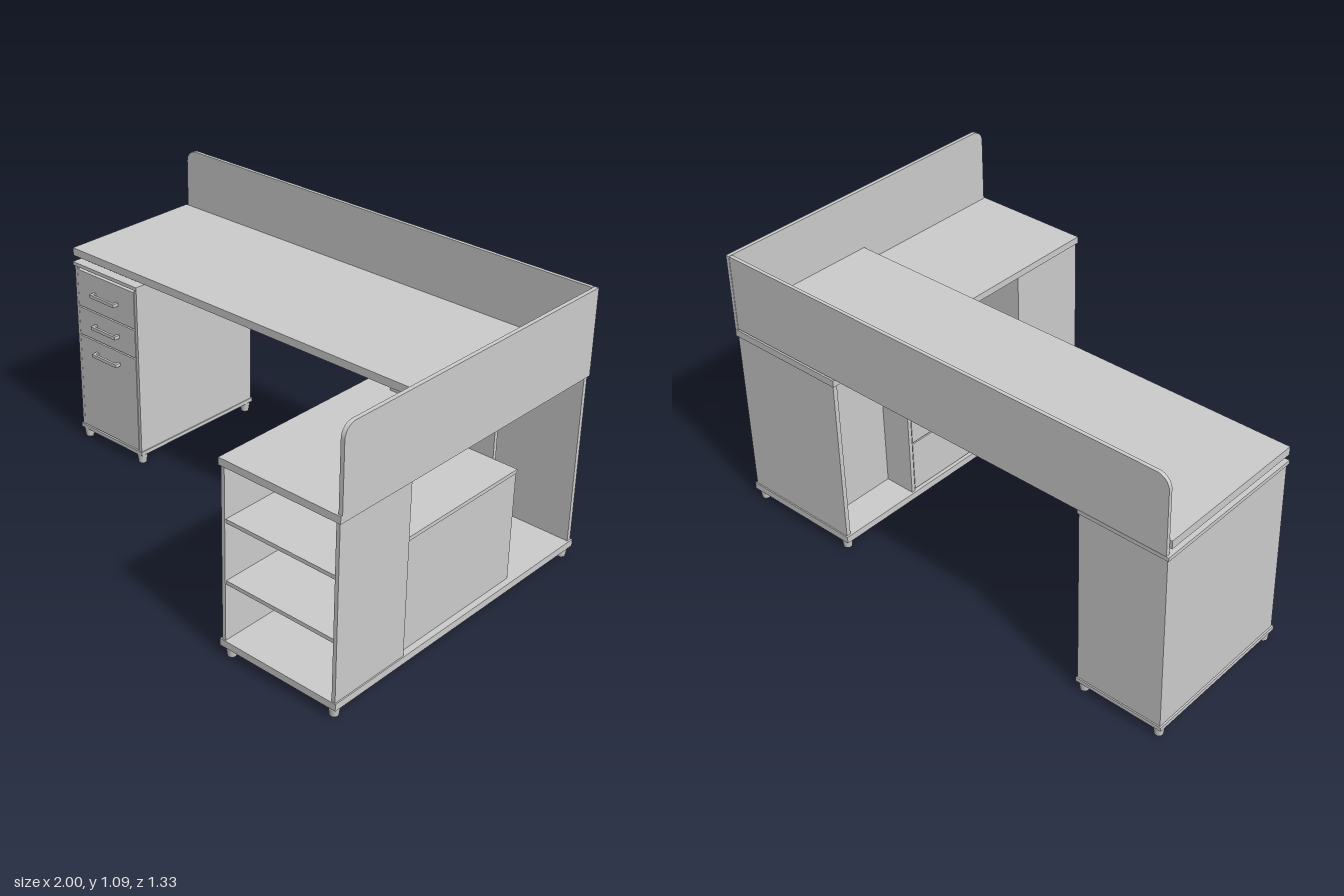
import * as THREE from 'three';

export function createModel() {
  const root = new THREE.Group();
  const mat = new THREE.MeshStandardMaterial({ color: 0xcccccc, flatShading: true });
  const smooth = new THREE.MeshStandardMaterial({ color: 0xcccccc });

  const add = (parent, name, geo, m = mat) => {
    const mesh = new THREE.Mesh(geo, m);
    mesh.name = name;
    parent.add(mesh);
    return mesh;
  };
  // Box given by its limits on each axis
  const box = (parent, name, x0, x1, y0, y1, z0, z1) =>
    add(parent, name, new THREE.BoxGeometry(x1 - x0, y1 - y0, z1 - z0))
      .position.set((x0 + x1) / 2, (y0 + y1) / 2, (z0 + z1) / 2);
  const group = (name) => {
    const g = new THREE.Group();
    g.name = name;
    root.add(g);
    return g;
  };
  const outline = (pts) => new THREE.Shape(pts.map(([a, b]) => new THREE.Vector2(a, b)));
  // Horizontal board cut from an outline in x and z
  const board = (parent, name, shape, y0, y1) => {
    const geo = new THREE.ExtrudeGeometry(shape, { depth: y1 - y0, bevelEnabled: false, curveSegments: 24 });
    geo.rotateX(Math.PI / 2);
    add(parent, name, geo).position.y = y1;
  };
  const feet = (parent, xs, zs) => {
    for (const x of xs) for (const z of zs) {
      add(parent, 'foot', new THREE.CylinderGeometry(0.022, 0.016, 0.042, 20), smooth).position.set(x, 0.021, z);
    }
  };
  // Bar handle on two posts, reaching out along +z
  const handle = (parent, x, y, z, turn) => {
    const h = new THREE.Group();
    h.name = 'handle';
    box(h, 'bar', -0.07, 0.07, -0.007, 0.007, 0.016, 0.026);
    for (const s of [-1, 1]) box(h, 'post', s * 0.064 - 0.006, s * 0.064 + 0.006, -0.007, 0.007, 0, 0.017);
    h.position.set(x, y, z);
    h.rotation.y = turn;
    parent.add(h);
  };

  // Desktop, notched at the rear corner for cables
  board(root, 'desktop', outline([[-1, -0.65], [0.89, -0.65], [0.89, -0.46], [0.98, -0.46], [0.98, -0.022], [-1, -0.022]]), 0.813, 0.845);
  box(root, 'leftSpacer', -0.965, -0.67, 0.786, 0.814, -0.6, -0.06);
  box(root, 'rightSpacer', 0.59, 0.88, 0.777, 0.814, -0.6, -0.06);

  // Privacy screens, each with one rounded upper corner
  const screen = (a0, a1, y0, y1, depth) => {
    const s = new THREE.Shape();
    const r = 0.05;
    s.moveTo(a0, y0);
    s.lineTo(a1, y0);
    s.lineTo(a1, y1 - r);
    s.absarc(a1 - r, y1 - r, r, 0, Math.PI / 2, false);
    s.lineTo(a0, y1);
    s.closePath();
    return new THREE.ExtrudeGeometry(s, { depth, bevelEnabled: false, curveSegments: 10 });
  };
  const rear = screen(-0.98, 0.99, 0.785, 1.09, 0.014);
  rear.rotateY(Math.PI);
  add(root, 'rearScreen', rear).position.z = -0.65;
  const side = screen(-0.664, 0.66, 0.777, 1.09, 0.016);
  side.rotateY(-Math.PI / 2);
  add(root, 'sideScreen', side).position.x = 0.998;

  // Drawer pedestal
  const ped = group('drawerPedestal');
  box(ped, 'topPlate', -1, -0.635, 0.772, 0.787, -0.665, -0.018);
  box(ped, 'bottomPlate', -1, -0.635, 0.04, 0.056, -0.665, -0.018);
  for (const x of [-0.993, -0.652]) box(ped, 'sidePanel', x, x + 0.013, 0.056, 0.772, -0.66, -0.022);
  box(ped, 'backPanel', -0.98, -0.652, 0.056, 0.772, -0.66, -0.645);
  box(ped, 'drawerBodies', -0.98, -0.652, 0.056, 0.765, -0.645, -0.04);
  for (const [y0, y1, hy] of [[0.06, 0.47, 0.417], [0.476, 0.597, 0.54], [0.603, 0.76, 0.68]]) {
    box(ped, 'drawerFront', -0.978, -0.654, y0, y1, -0.04, -0.021);
    handle(ped, -0.815, hy, -0.021, 0);
  }
  feet(ped, [-0.975, -0.655], [-0.04, -0.64]);

  // Long return cabinet
  const cab = group('returnCabinet');
  const top = outline([[0.48, -0.665], [0.997, -0.665], [0.997, 0.667], [0.48, 0.667]]);
  const hole = new THREE.Path();
  hole.absellipse(0.945, -0.55, 0.033, 0.05, 0, Math.PI * 2, true, 0);
  top.holes.push(hole);
  board(cab, 'topPlate', top, 0.75, 0.778);
  box(cab, 'bottomPlate', 0.48, 0.997, 0.04, 0.068, -0.665, 0.667);
  feet(cab, [0.51, 0.97], [0.64, -0.64]);

  // Open shelves at the front end
  for (const x of [0.488, 0.977]) box(cab, 'shelfSide', x, x + 0.015, 0.068, 0.75, 0.317, 0.663);
  box(cab, 'shelfBack', 0.503, 0.977, 0.068, 0.75, 0.317, 0.332);
  for (const y of [0.294, 0.535]) box(cab, 'shelf', 0.503, 0.977, y, y + 0.015, 0.332, 0.658);

  // Low drawer unit, facing the seat
  box(cab, 'drawerUnitTop', 0.488, 0.975, 0.505, 0.52, -0.295, 0.317);
  box(cab, 'drawerUnitBody', 0.51, 0.972, 0.068, 0.505, -0.293, 0.317);
  for (const [y0, y1, hy] of [[0.073, 0.286, 0.21], [0.292, 0.502, 0.42]]) {
    box(cab, 'drawerFront', 0.491, 0.51, y0, y1, -0.292, 0.314);
    handle(cab, 0.491, hy, 0.025, -Math.PI / 2);
  }

  // Cable niche at the rear
  box(cab, 'divider', 0.488, 0.87, 0.068, 0.75, -0.313, -0.297);
  box(cab, 'nichePanel', 0.62, 0.635, 0.068, 0.75, -0.642, -0.313);
  box(cab, 'backPanel', 0.488, 0.99, 0.068, 0.75, -0.66, -0.642);
  return root;
}
